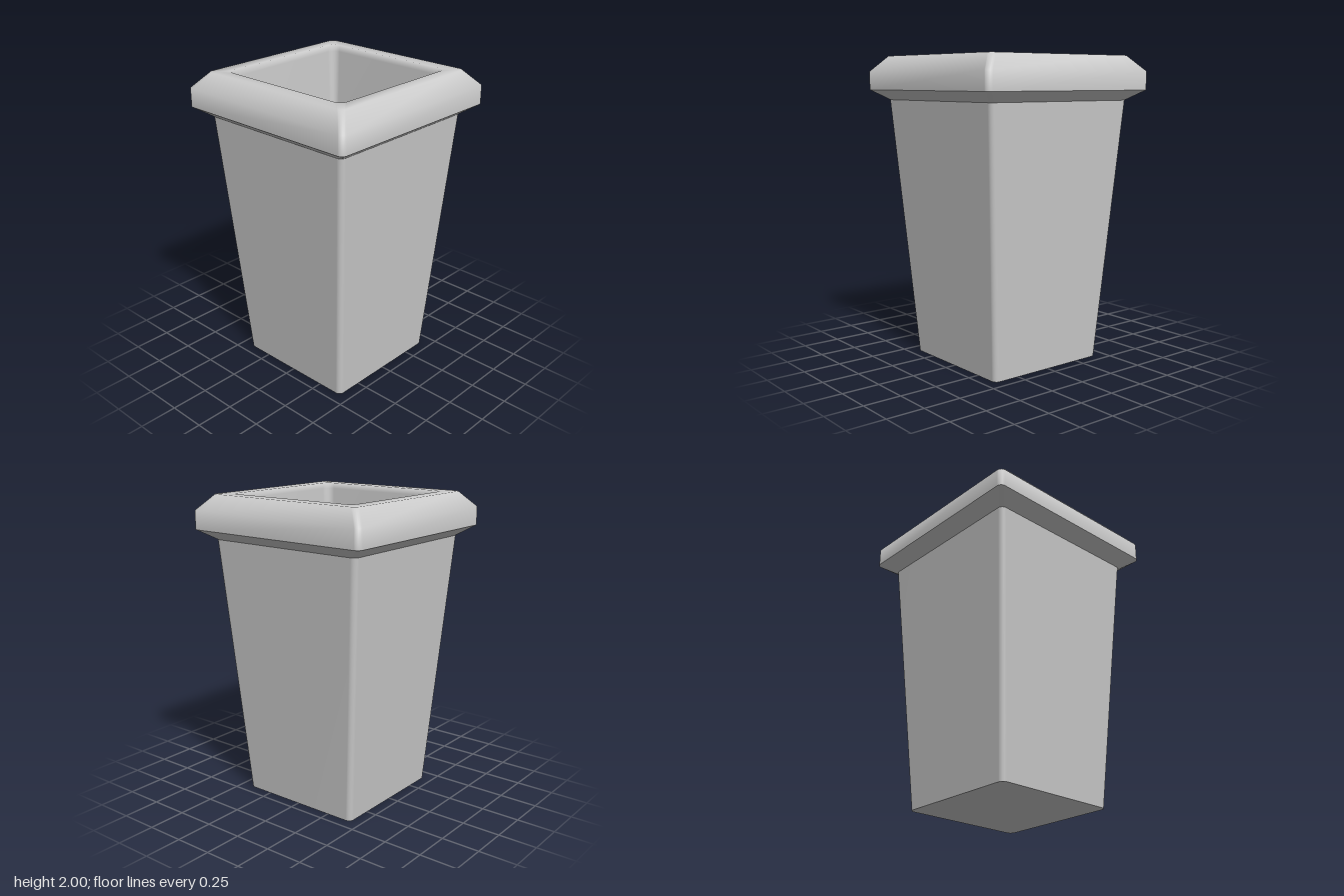
import * as THREE from 'three';

const CORNER_STEPS = 6;

// Rounded square outline: half width w, height y, corner radius r
function ring([w, y, r]) {
  const points = [];
  for (let corner = 0; corner < 4; corner++) {
    const mid = Math.PI / 4 + corner * Math.PI / 2;
    const cx = Math.sign(Math.cos(mid)) * (w - r);
    const cz = Math.sign(Math.sin(mid)) * (w - r);
    for (let i = 0; i <= CORNER_STEPS; i++) {
      const a = (corner + i / CORNER_STEPS) * Math.PI / 2;
      points.push(cx + r * Math.cos(a), y, cz + r * Math.sin(a));
    }
  }
  return points;
}

// Smooth skin through a stack of rounded squares
function loft(sections) {
  const n = 4 * (CORNER_STEPS + 1);
  const index = [];
  for (let s = 0; s < sections.length - 1; s++) {
    for (let i = 0; i < n; i++) {
      const a = s * n + i, b = s * n + (i + 1) % n;
      index.push(a, a + n, b, b, a + n, b + n);
    }
  }
  const geometry = new THREE.BufferGeometry();
  geometry.setAttribute('position', new THREE.Float32BufferAttribute(sections.flatMap(ring), 3));
  geometry.setIndex(index);
  geometry.computeVertexNormals();
  return geometry;
}

// Flat cap filling one rounded square, facing up or down
function cap(section, up) {
  const p = ring(section);
  const outline = [];
  for (let i = 0; i < p.length; i += 3) outline.push(new THREE.Vector2(p[i], p[i + 2]));
  const geometry = new THREE.ShapeGeometry(new THREE.Shape(outline));
  geometry.rotateX(up ? -Math.PI / 2 : Math.PI / 2);
  geometry.translate(0, section[1], 0);
  return geometry;
}

export function createModel() {
  const group = new THREE.Group();
  const material = new THREE.MeshStandardMaterial({ color: 0xcccccc });
  const add = (name, geometry) => {
    const mesh = new THREE.Mesh(geometry, material);
    mesh.name = name;
    group.add(mesh);
  };

  // Key sections: half width, height, corner radius
  const foot = [0.43, 0, 0.035];
  const neck = [0.555, 1.715, 0.035];
  const rimBottom = [0.652, 1.78, 0.035];
  const floor = [0.348, 0.08, 0.001];

  // Tapered outer body
  add('base', cap(foot, false));
  add('body', loft([foot, neck]));

  // Sloped underside and bevelled rim, running over into the inner walls
  add('rimUnderside', loft([neck, rimBottom]));
  add('rimAndInnerWall', loft([
    rimBottom,
    [0.652, 1.9, 0.035],
    [0.56, 2, 0.035],
    [0.475, 2, 0.05],
    [0.448, 1.965, 0.055],
    floor,
  ]));

  // Inside floor
  add('floor', cap(floor, true));
  return group;
}
